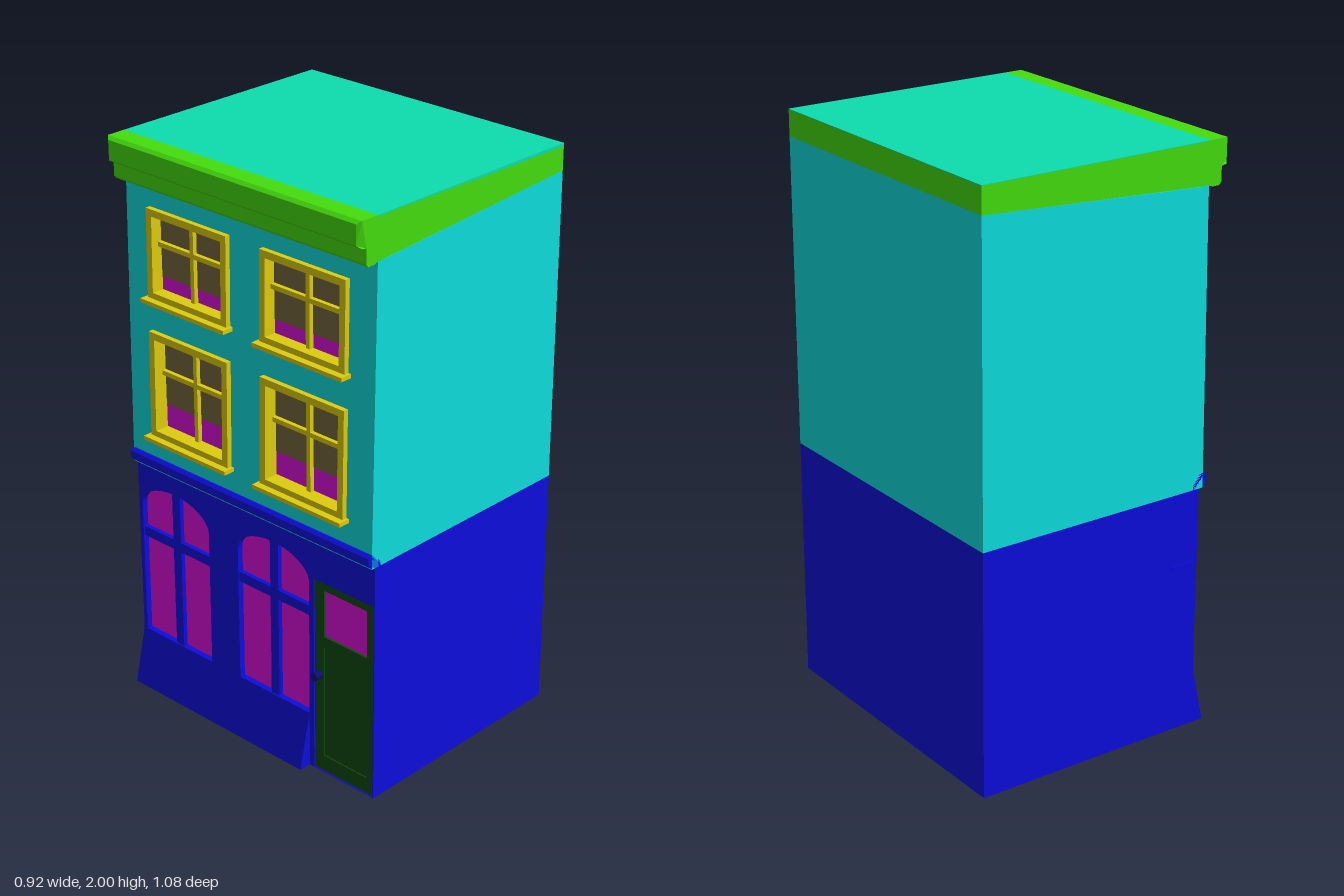
import * as THREE from 'three';

const mat = (color) => new THREE.MeshStandardMaterial({ color, flatShading: true });
const BLUE = mat(0x0d0ddd), CYAN = mat(0x0ddddd), GREEN = mat(0x44dd0d), TEAL = mat(0x0dddae),
  YELLOW = mat(0xddcc0d), PURPLE = mat(0xdd0ddd), BROWN = mat(0x75673b), DOOR = mat(0x0d4a0d), DARK = mat(0x0d0d70);
const Z = 0.536; // half width of the building

export function createModel() {
  const root = new THREE.Group();

  const add = (name, geo, material, parent = root) => {
    const m = new THREE.Mesh(geo, material);
    m.name = name;
    parent.add(m);
    return m;
  };

  // box given by its limits
  const box = (name, x0, x1, y0, y1, z0, z1, material, parent) => {
    const g = new THREE.BoxGeometry(x1 - x0, y1 - y0, z1 - z0);
    g.translate((x0 + x1) / 2, (y0 + y1) / 2, (z0 + z1) / 2);
    return add(name, g, material, parent);
  };

  // side profile in x,y swept along z
  const sweep = (pts, z0 = -Z, z1 = Z) => {
    const s = new THREE.Shape(pts.map(([x, y]) => new THREE.Vector2(x, y)));
    const g = new THREE.ExtrudeGeometry(s, { depth: z1 - z0, bevelEnabled: false });
    return g.translate(0, 0, z0);
  };

  const rect = (z0, z1, y0, y1, Type = THREE.Path) => new Type([
    [z0, y0], [z1, y0], [z1, y1], [z0, y1]].map(([z, y]) => new THREE.Vector2(z, y)));

  // street-side panel drawn in z,y, thickened from xBack outwards (-x)
  const panel = (shape, xBack, depth) => new THREE.ExtrudeGeometry(shape,
    { depth, bevelEnabled: false, curveSegments: 16 }).rotateY(-Math.PI / 2).translate(xBack, 0, 0);

  // street wall of the upper floors leans out slightly towards its foot
  const lean = (y) => 0.015 * (1.86 - y);

  // building core
  box('groundFloor', -0.36, 0.46, 0, 0.85, -Z, Z, BLUE);
  add('upperFloors', sweep([[-0.36, 0.85], [0.46, 0.85], [0.46, 1.91], [-0.36, 1.857]]), CYAN);
  add('roofBand', sweep([[-0.386, 1.857], [0.46, 1.91], [0.46, 1.998], [-0.386, 1.998]]), GREEN);
  box('roof', -0.386, 0.46, 1.99, 2, -Z, Z, TEAL);

  // cornice with mitred ends on its outer moulding
  const cornice = sweep([[-0.386, 1.857], [-0.386, 2], [-0.452, 2], [-0.464, 1.99], [-0.464, 1.925],
    [-0.452, 1.915], [-0.434, 1.912], [-0.434, 1.862], [-0.426, 1.852], [-0.4, 1.852]]);
  const cp = cornice.attributes.position;
  for (let i = 0; i < cp.count; i++) if (cp.getX(i) < -0.46) cp.setZ(i, cp.getZ(i) * 0.975);
  cornice.computeVertexNormals();
  add('cornice', cornice, GREEN);

  // shop front with two arched openings and a doorway
  const shopfront = rect(-Z, Z, 0, 0.85, THREE.Shape);
  const bays = [-0.36, 0.095], half = 0.16;
  for (const c of bays) {
    const arch = new THREE.Path();
    arch.moveTo(c - half, 0.2);
    arch.lineTo(c + half, 0.2);
    arch.lineTo(c + half, 0.69);
    arch.absellipse(c, 0.69, half, 0.085, 0, Math.PI, false);
    arch.lineTo(c - half, 0.2);
    shopfront.holes.push(arch);
  }
  shopfront.holes.push(rect(0.275, 0.532, 0.002, 0.71));
  add('shopfrontWall', panel(shopfront, -0.36, 0.025), BLUE);
  for (const c of bays) {
    const bay = new THREE.Group();
    bay.name = 'shopWindow';
    root.add(bay);
    box('shopGlass', -0.364, -0.358, 0.2, 0.78, c - half, c + half, PURPLE, bay);
    box('shopMullion', -0.38, -0.36, 0.2, 0.775, c - 0.018, c + 0.018, BLUE, bay);
    box('shopTransom', -0.38, -0.36, 0.565, 0.6, c - half, c + half, BLUE, bay);
  }
  box('transomEnd', -0.37, -0.28, 0.585, 0.6, -Z - 0.004, -0.5, BLUE);

  // sloping plinth stops at the doorway
  add('plinth', sweep([[-0.43, 0], [-0.37, 0], [-0.37, 0.2], [-0.385, 0.2]], -Z, 0.255), BLUE);

  // ledge between shop and upper floors
  add('ledge', sweep([[-0.36, 0.85], [-0.36, 0.905], [-0.405, 0.9], [-0.415, 0.892], [-0.415, 0.868],
    [-0.405, 0.86], [-0.398, 0.85]]), BLUE);

  // door
  const door = new THREE.Group();
  door.name = 'door';
  root.add(door);
  const leaf = rect(0.275, 0.532, 0.002, 0.71, THREE.Shape);
  leaf.holes.push(rect(0.315, 0.5, 0.51, 0.68));
  leaf.holes.push(rect(0.315, 0.5, 0.06, 0.47));
  add('doorFrame', panel(leaf, -0.36, 0.02), DOOR, door);
  box('doorPanel', -0.375, -0.358, 0.06, 0.47, 0.315, 0.5, DOOR, door);
  box('doorGlass', -0.372, -0.358, 0.51, 0.68, 0.315, 0.5, PURPLE, door);
  const knob = add('doorKnob', new THREE.CylinderGeometry(0.014, 0.014, 0.03, 8).rotateZ(Math.PI / 2), DARK, door);
  knob.position.set(-0.393, 0.365, 0.297);

  // upper street wall with four window openings
  const upper = rect(-Z, Z, 0.85, 1.86, THREE.Shape);
  const rows = [{ y0: 0.985, y1: 1.355, blind: 1.09 }, { y0: 1.47, y1: 1.775, blind: 1.54 }];
  const w = 0.178;
  for (const r of rows) for (const c of [-0.25, 0.25]) {
    upper.holes.push(rect(c - w + 0.012, c + w - 0.012, r.y0 + 0.012, r.y1 - 0.012));
  }
  const wall = panel(upper, -0.36, 0.025);
  const wp = wall.attributes.position;
  for (let i = 0; i < wp.count; i++) if (wp.getX(i) < -0.37) wp.setX(i, wp.getX(i) - lean(wp.getY(i)));
  wall.computeVertexNormals();
  add('upperWall', wall, CYAN);

  // sash windows with blinds
  for (const { y0, y1, blind } of rows) for (const c of [-0.25, 0.25]) {
    const win = new THREE.Group();
    win.name = 'sashWindow';
    root.add(win);
    const mid = y0 + (y1 - y0) * 0.6, front = -0.403 - lean(y0);
    const ring = rect(c - w, c + w, y0, y1, THREE.Shape);
    ring.holes.push(rect(c - w + 0.024, c + w - 0.024, y0 + 0.024, y1 - 0.024));
    const g = panel(ring, -0.36, -0.36 - front);
    const p = g.attributes.position;
    for (let i = 0; i < p.count; i++) {
      if (p.getX(i) < -0.37) p.setX(i, p.getX(i) + 0.015 * (p.getY(i) - y0));
    }
    g.computeVertexNormals();
    add('windowFrame', g, YELLOW, win);
    box('windowGlass', -0.364, -0.358, y0, blind, c - w + 0.015, c + w - 0.015, PURPLE, win);
    box('windowBlind', -0.365, -0.358, blind, y1 - 0.01, c - w + 0.015, c + w - 0.015, BROWN, win);
    box('windowMullion', -0.38, -0.36, y0 + 0.01, y1 - 0.01, c - 0.008, c + 0.008, YELLOW, win);
    box('windowRail', -0.38, -0.36, mid - 0.008, mid + 0.008, c - w + 0.01, c + w - 0.01, YELLOW, win);
    box('windowSill', front - 0.024, -0.37, y0 - 0.01, y0 + 0.004, c - w - 0.01, c + w + 0.01, YELLOW, win);
  }

  return root;
}
